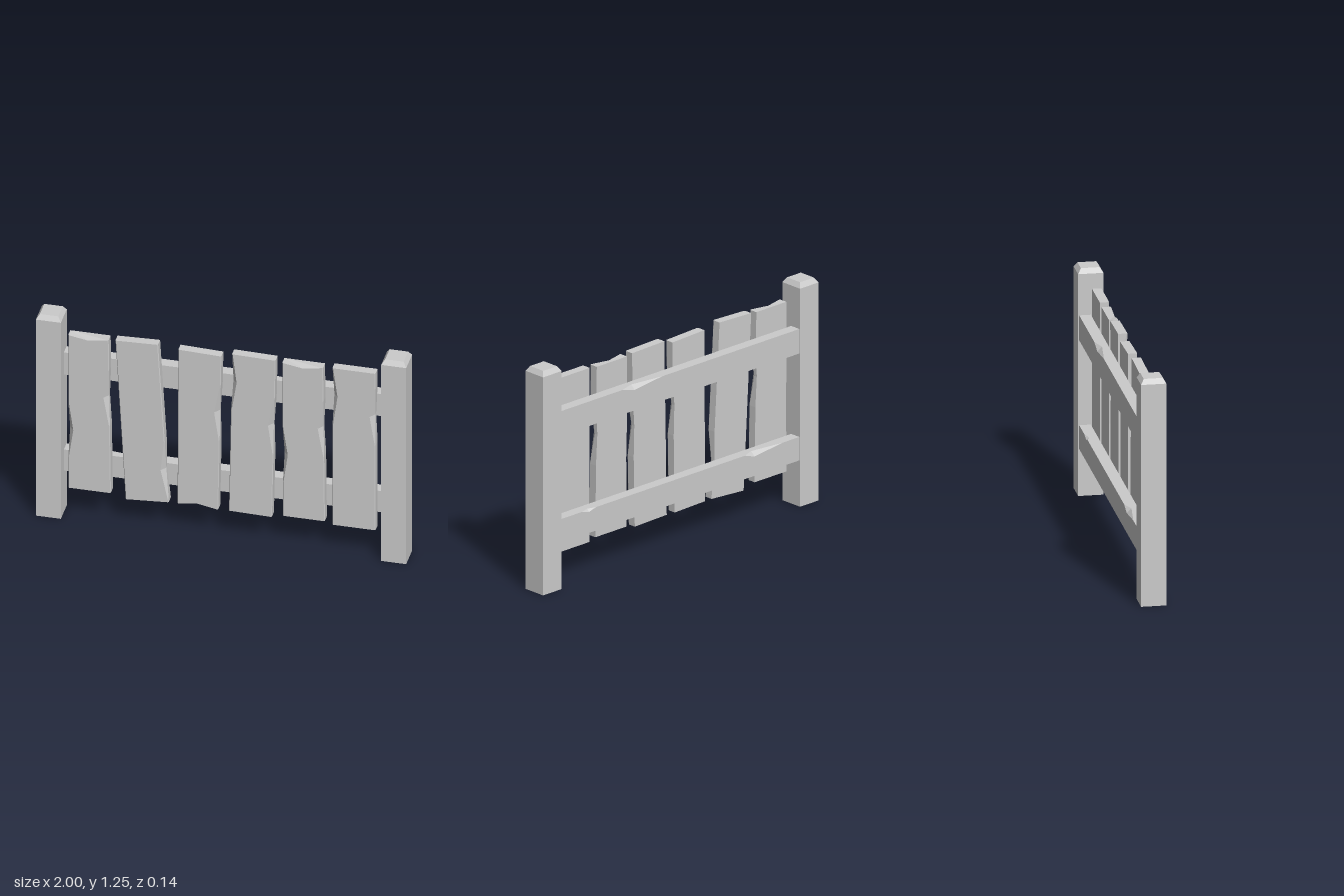
import * as THREE from 'three';

const { lerp } = THREE.MathUtils;
const wood = new THREE.MeshStandardMaterial({ color: 0xcccccc, flatShading: true });
const openWood = new THREE.MeshStandardMaterial({ color: 0xcccccc, flatShading: true, side: THREE.DoubleSide });

// Skin a list of equal-length rings (counter-clockwise seen from the end side).
function loft(rings, capStart = true) {
  const pos = [], n = rings[0].length;
  const tri = (...corners) => {
    const t = new THREE.Triangle(...corners.map((p) => new THREE.Vector3(...p)));
    if (t.getArea() > 1e-8) pos.push(...corners.flat());
  };
  for (let i = 0; i < rings.length - 1; i++) {
    for (let k = 0; k < n; k++) {
      const j = (k + 1) % n, r = rings[i], s = rings[i + 1];
      tri(r[k], r[j], s[j]);
      tri(r[k], s[j], s[k]);
    }
  }
  const first = rings[0], last = rings[rings.length - 1];
  for (let k = 1; k < n - 1; k++) {
    tri(last[0], last[k], last[k + 1]);
    if (capStart) tri(first[0], first[k + 1], first[k]);
  }
  const g = new THREE.BufferGeometry();
  g.setAttribute('position', new THREE.Float32BufferAttribute(pos, 3));
  g.computeVertexNormals();
  return g;
}

function addMesh(group, name, geometry, material = wood) {
  const mesh = new THREE.Mesh(geometry, material);
  mesh.name = name;
  group.add(mesh);
  return mesh;
}

// Square post with a bevelled top and an open foot.
function postGeometry() {
  const square = (y, h) => [[-h, y, -h], [-h, y, h], [h, y, h], [h, y, -h]];
  return loft([square(0, 0.0675), square(1.228, 0.0675), square(1.255, 0.05)], false);
}

// Rail along x; chips are [x, depth] notches in the upper back edge.
function railGeometry(y0, y1, chips) {
  const zf = 0, zb = -0.062;
  const stations = [[-0.866, 0], ...chips, [0.866, 0]];
  return loft(stations.map(([x, d]) => [
    [x, y0, zf], [x, y0, zb], [x, y1 - d * 0.9, zb], [x, y1, zb + d], [x, y1, zf],
  ]));
}

// Plank between a bottom and a top edge, each [left x, right x, left y, right y].
// leftChip and rightChip are heights (0 to 1) of the worn spots along the sides;
// topChip and bottomChip are notch depths at the ends.
function plankGeometry({ bottom, top, leftChip, rightChip, topChip = 0, bottomChip = 0 }) {
  const depth = 0.05, reach = 0.18;
  const wear = (t, at) => 0.02 * Math.max(0, 1 - Math.abs(t - at) / reach);
  const heights = [0, 1];
  for (const c of [leftChip, rightChip]) {
    if (c !== undefined) heights.push(c - reach, c, c + reach);
  }
  const rows = heights.filter((t) => t >= 0 && t <= 1).sort((a, b) => a - b);
  return loft(rows.map((t) => {
    const [x0, x1, yl, yr] = bottom.map((b, i) => lerp(b, top[i], t));
    const wl = leftChip === undefined ? 0 : wear(t, leftChip);
    const wr = rightChip === undefined ? 0 : wear(t, rightChip);
    const xl = x0 + wl * 0.2, xr = x1 - wr * 0.4;
    const l = 0.004 + wl, r = 0.004 + wr;
    const notch = t === 1 ? -topChip : t === 0 ? bottomChip : 0;
    return [
      [xl, yl, 0], [xl, yl, depth - l * 1.3], [xl + l, yl, depth],
      [(xl + xr) / 2, (yl + yr) / 2 + notch, depth],
      [xr - r, yr, depth], [xr, yr, depth - r * 1.3], [xr, yr, 0],
    ];
  }));
}

const planks = [
  { bottom: [-0.83, -0.6, 0.19, 0.19], top: [-0.83, -0.612, 1.145, 1.145],
    leftChip: 0.38, rightChip: 0.62, topChip: 0.018 },
  { bottom: [-0.52, -0.287, 0.165, 0.18], top: [-0.575, -0.345, 1.15, 1.158],
    rightChip: 0.2 },
  { bottom: [-0.24, -0.02, 0.18, 0.175], top: [-0.235, -0.003, 1.145, 1.137],
    rightChip: 0.63, bottomChip: 0.018 },
  { bottom: [0.038, 0.27, 0.178, 0.173], top: [0.055, 0.29, 1.16, 1.155],
    leftChip: 0.82, rightChip: 0.58 },
  { bottom: [0.33, 0.556, 0.19, 0.19], top: [0.326, 0.546, 1.147, 1.147],
    leftChip: 0.4, rightChip: 0.6, topChip: 0.018 },
  { bottom: [0.597, 0.83, 0.175, 0.175], top: [0.597, 0.83, 1.155, 1.155],
    leftChip: 0.82, rightChip: 0.72 },
];

export function createModel() {
  const fence = new THREE.Group();
  fence.name = 'fence';

  // Posts
  for (const side of [1, -1]) {
    const post = addMesh(fence, side > 0 ? 'leftPost' : 'rightPost', postGeometry(), openWood);
    post.position.x = side * 0.9325;
  }

  // Rails, with knocked-off spots on the back
  addMesh(fence, 'upperRail', railGeometry(0.862, 1.0,
    [[0.13, 0], [0.33, 0.026], [0.42, 0]]));
  addMesh(fence, 'lowerRail', railGeometry(0.26, 0.392,
    [[-0.74, 0], [-0.54, 0.026], [-0.47, 0], [0.61, 0], [0.66, 0.015], [0.71, 0]]));

  // Planks
  planks.forEach((p, i) => addMesh(fence, `plank${i + 1}`, plankGeometry(p)));

  return fence;
}
